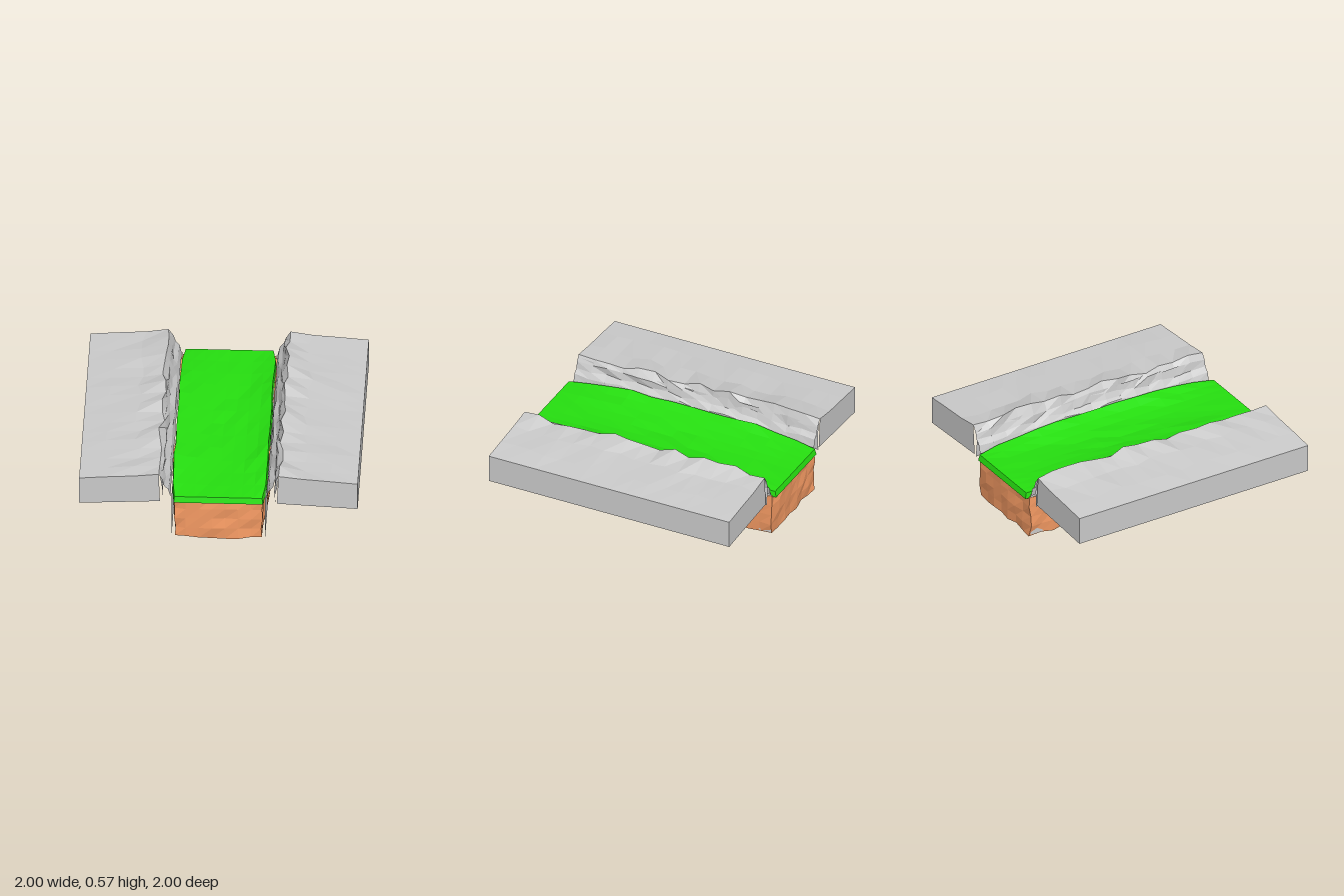
import * as THREE from 'three';

const material = (color, side = THREE.DoubleSide) =>
  new THREE.MeshStandardMaterial({ color, flatShading: true, side });
const STONE = material(0xcccccc);
const GRASS = material(0x26e010);
const DIRT = material(0xf49a63);

// repeatable value in -1..1 for a lattice point
function noise(a, b, c = 0) {
  const s = Math.sin(a * 127.1 + b * 311.7 + c * 74.7) * 43758.5453;
  return (s - Math.floor(s)) * 2 - 1;
}

function addMesh(group, name, geometry, mat) {
  const flat = geometry.index ? geometry.toNonIndexed() : geometry;
  flat.computeVertexNormals();
  const mesh = new THREE.Mesh(flat, mat);
  mesh.name = name;
  group.add(mesh);
  return mesh;
}

// joins cross-sections along z: point(i, j) gives the i-th profile point of station j
function sweep(points, stations, point) {
  const pos = [], index = [];
  for (let j = 0; j < stations; j++) {
    for (let i = 0; i < points; i++) pos.push(...point(i, j));
  }
  for (let j = 0; j < stations - 1; j++) {
    for (let i = 0; i < points - 1; i++) {
      const a = j * points + i, b = a + points;
      index.push(a, a + 1, b, a + 1, b + 1, b);
    }
  }
  const g = new THREE.BufferGeometry();
  g.setAttribute('position', new THREE.Float32BufferAttribute(pos, 3));
  g.setIndex(index);
  return g;
}

function moveVertices(g, rule) {
  const p = g.attributes.position;
  for (let i = 0; i < p.count; i++) {
    const v = new THREE.Vector3().fromBufferAttribute(p, i);
    rule(v);
    p.setXYZ(i, v.x, v.y, v.z);
  }
  return g;
}

const END = 0.967, STATIONS = 17;
const stationZ = j => -END + (2 * END * j) / (STATIONS - 1);
const atEnd = j => j === 0 || j === STATIONS - 1;

// one stone bank, open underneath; s = 1 or -1
function makeBank(s) {
  const bank = new THREE.Group();
  bank.name = s > 0 ? 'leftBank' : 'rightBank';

  // x, y, sideways jitter, height jitter
  const profile = [
    [1, 0.29, 0, 0], [1, 0.5, 0, 0], [0.82, 0.515, 0.02, 0.004],
    [0.6, 0.53, 0.03, 0.008], [0.435, 0.555, 0.025, 0.022],
    [0.405, 0.5, 0.012, 0.02], [0.39, 0.455, 0.012, 0.015],
    [0.36, 0.42, 0.008, 0.012], [0.345, 0.36, 0.003, 0.005],
  ];
  const place = (i, j) => {
    const [x, y, jx, jy] = profile[i];
    const k = atEnd(j) ? 0.3 : 1;
    const ridge = i === 4 ? 0.012 * Math.cos((stationZ(j) + 0.35) * 3) : 0;
    return [
      s * (x + k * jx * noise(i, j, s)),
      y + k * (jy * noise(j, i, s + 5) + ridge),
      stationZ(j),
    ];
  };
  addMesh(bank, 'bankSurface', sweep(profile.length, STATIONS, place), STONE);

  // ragged rock skirt hanging behind the lip
  const skirt = [[0.415, 0.52], [0.395, 0.43], [0.41, 0.315]];
  addMesh(bank, 'rockSkirt', sweep(3, STATIONS, (i, j) => [
    s * (skirt[i][0] + 0.012 * noise(i + 20, j, s)),
    skirt[i][1] + 0.012 * noise(j, i + 20, s),
    stationZ(j),
  ]), STONE);

  // upright end walls
  for (const j of [0, STATIONS - 1]) {
    const outline = [0, 1, 2, 3, 4].map(i => place(i, j));
    const shape = new THREE.Shape(outline.map(p => new THREE.Vector2(p[0], p[1])));
    shape.lineTo(s * 0.42, 0.32);
    const wall = new THREE.ShapeGeometry(shape);
    wall.translate(0, 0, stationZ(j));
    addMesh(bank, j ? 'frontWall' : 'backWall', wall, STONE);
  }

  // flat stone plate along the channel side
  const plate = new THREE.PlaneGeometry(2 * END, 0.34);
  plate.rotateY(s * Math.PI / 2);
  plate.translate(s * 0.336, 0.2, 0);
  addMesh(bank, 'channelPlate', plate, STONE);
  return bank;
}

// lumpy block of earth whose sides swell through the stone plates
function makeDirt(z0, z1, seed) {
  const length = z1 - z0;
  const g = new THREE.BoxGeometry(0.66, 0.32, length, 7, 4, 9);
  return moveVertices(g, v => {
    const [a, b, c] = [v.x, v.y, v.z].map(n => Math.round(n * 50));
    const side = Math.abs(v.x) > 0.329, bottom = v.y < -0.159;
    const z = v.z + (z0 + z1) / 2;
    const outer = Math.abs(z) > 0.95;
    const inner = Math.abs(v.z) > length / 2 - 0.001 && !outer;
    if (side) {
      // the swelling shows around z = 0.4 and beyond z = -0.6
      const swell = z > 0 ? 0.018 * Math.cos((z - 0.4) * 6) : 0.015 * Math.sin((-z - 0.42) * 4);
      v.x += Math.sign(v.x) * (swell + 0.008 * noise(b, c, seed));
      if (bottom) v.x -= Math.sign(v.x) * 0.006;
    }
    v.y += 0.18;
    if (bottom) v.y += 0.004 + 0.014 * noise(a, c, seed);
    if (outer) z > 0 ? v.z += 0.01 * noise(a, b, seed) : v.z -= 0.01 * noise(a, b, seed);
    if (inner) {
      v.z += 0.035 * noise(a, b, seed) - Math.sign(v.z) * (bottom ? 0.06 : 0);
      if (bottom) v.y += 0.03;
    }
    v.z = v.z + (z0 + z1) / 2;
  });
}

// turf sheet, raised along both long edges away from its ends
function makeGrass() {
  const g = new THREE.BoxGeometry(0.68, 0.045, 1.99, 8, 1, 12);
  return moveVertices(g, v => {
    const top = v.y > 0, edge = Math.abs(v.x) > 0.339, end = Math.abs(v.z) > 0.99;
    const fade = Math.min(1, (0.995 - Math.abs(v.z)) / 0.5);
    const c = Math.round(v.z * 50), a = Math.round(v.x * 50);
    v.y += 0.3525;
    if (top) {
      const d = Math.abs(v.x - 0.06) / (v.x > 0.06 ? 0.28 : 0.4);
      v.y += fade * (0.055 * d * d + 0.006 * noise(a, c));
      if (end) v.z -= Math.sign(v.z) * 0.006;
      if (edge) v.x -= Math.sign(v.x) * 0.005;
    }
    if (!top && end) v.z += Math.sign(v.z) * 0.005;
    if (edge && end) v.x -= Math.sign(v.x) * 0.02;
    else if (edge) v.x += 0.005 * noise(a, c, 3);
  });
}

export function createModel() {
  const model = new THREE.Group();
  model.name = 'grassChannel';
  model.add(makeBank(1), makeBank(-1));
  addMesh(model, 'grass', makeGrass(), GRASS);
  addMesh(model, 'frontDirt', makeDirt(0.14, 0.965, 1), DIRT);
  addMesh(model, 'backDirt', makeDirt(-0.975, -0.08, 2), DIRT);

  // stand on the ground, centred
  const box = new THREE.Box3().setFromObject(model);
  const centre = box.getCenter(new THREE.Vector3());
  model.position.set(-centre.x, -box.min.y, -centre.z);
  return model;
}
